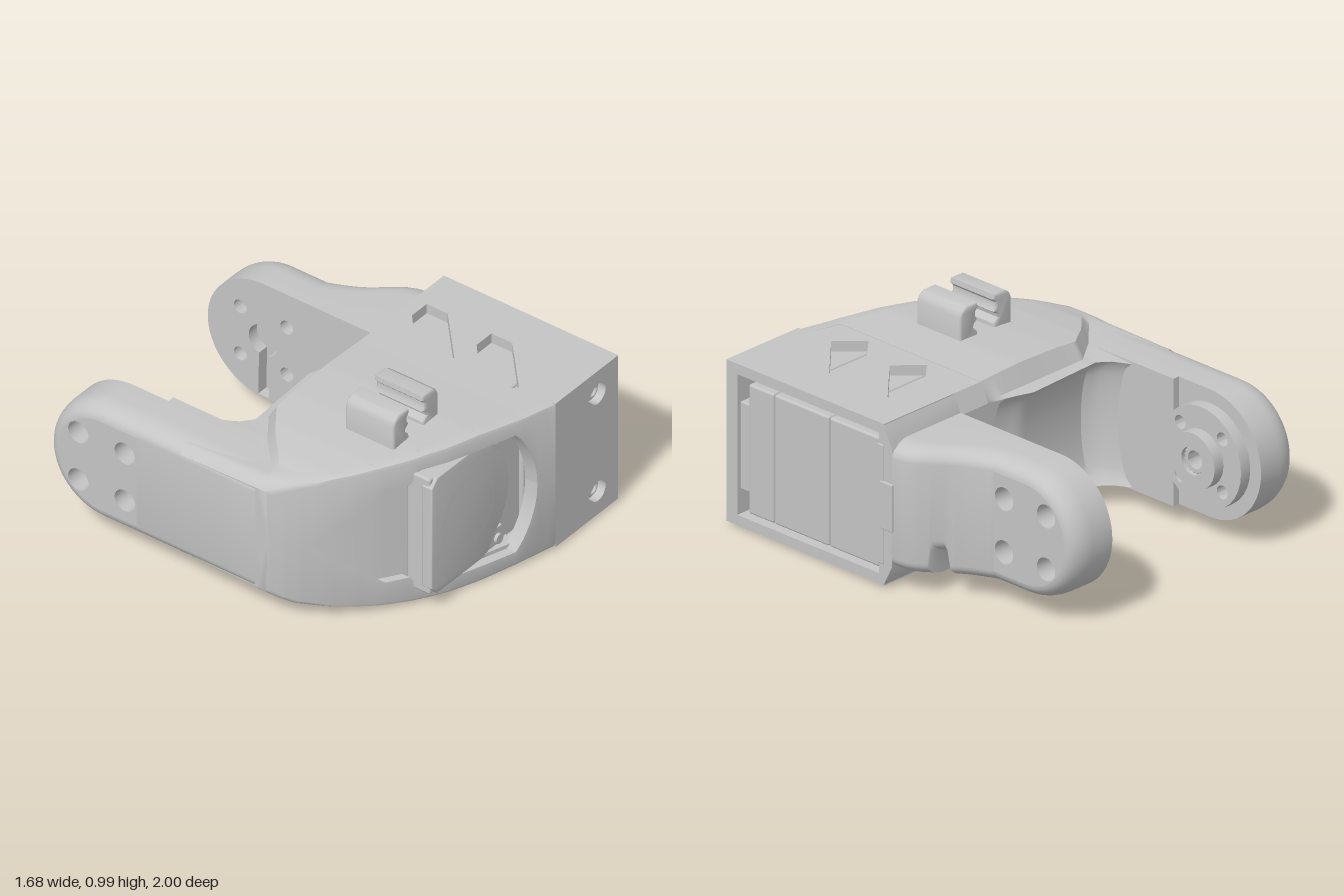
import * as THREE from 'three';
import { toCreasedNormals } from 'three/addons/utils/BufferGeometryUtils.js';
import { RoundedBoxGeometry } from 'three/addons/geometries/RoundedBoxGeometry.js';

const V = (x, y, z) => new THREE.Vector3(x, y, z);
const P = (x, y) => new THREE.Vector2(x, y);
const MID = 0.425; // height of the horizontal symmetry plane; parts are built around y = 0

// Linear interpolation through [x, value] pairs
function curve(pairs) {
  return x => {
    let i = 1;
    while (i < pairs.length - 1 && x > pairs[i][0]) i++;
    const [a, b] = [pairs[i - 1], pairs[i]];
    const t = Math.min(1, Math.max(0, (x - a[0]) / (b[0] - a[0])));
    return a[1] + (b[1] - a[1]) * t;
  };
}

// Skin over rows of points; closed rows also get end caps
function skin(rows, closed = false) {
  const n = rows[0].length, idx = [];
  const m = closed ? n : n - 1;
  for (let r = 0; r < rows.length - 1; r++) {
    for (let i = 0; i < m; i++) {
      const a = r * n + i, b = r * n + (i + 1) % n;
      idx.push(a, b, a + n, b, b + n, a + n);
    }
  }
  if (closed) {
    const last = (rows.length - 1) * n;
    for (let i = 1; i < n - 1; i++) idx.push(0, i + 1, i, last, last + i, last + i + 1);
  }
  const g = new THREE.BufferGeometry().setFromPoints(rows.flat());
  g.setIndex(idx);
  return toCreasedNormals(g, 0.6);
}

const steps = (a, b, n) => Array.from({ length: n + 1 }, (_, i) => a + (b - a) * i / n);
const circle = (x, y, r) => steps(0, Math.PI * 2, 32).slice(0, 32).map(t => P(x + r * Math.cos(t), y + r * Math.sin(t)));

// Plan and height curves of the body
const front = curve([[-0.84, 0.27], [-0.81, 0.335], [-0.77, 0.395], [-0.7, 0.48], [-0.6, 0.575], [-0.5, 0.655],
  [-0.37, 0.74], [-0.2, 0.825], [0, 0.895], [0.17, 0.95], [0.36, 0.998]]);
const high = curve([[-0.84, 0.28], [-0.81, 0.31], [-0.77, 0.335], [-0.65, 0.368], [-0.5, 0.392], [-0.3, 0.41],
  [-0.05, 0.418], [0.2, 0.407], [0.36, 0.405]]);
const back = curve([[-0.565, -0.23], [-0.52, -0.14], [-0.46, -0.09], [-0.03, -0.11], [0.02, -0.09], [0.18, -0.045]]);
const topBack = curve([[-0.84, 0.18], [-0.78, 0.26], [-0.72, 0.25], [-0.56, 0.1], [-0.42, 0]]);
const windowEdge = curve([[-0.75, 0], [-0.48, 0.26], [-0.38, 0.26], [-0.33, 0.33], [0.14, 0.33]]);
const windowHalf = x => x < 0.14 ? windowEdge(x) : Math.sqrt(Math.max(0, 0.514 ** 2 - (x + 0.254) ** 2));

export function createModel() {
  const root = new THREE.Group();
  root.name = 'servoBracket';
  const model = new THREE.Group();
  model.name = 'bracketParts';
  model.position.y = MID;
  root.add(model);
  const grey = new THREE.MeshStandardMaterial({ color: 0xc4c4c4, side: THREE.DoubleSide });
  grey.name = 'grey plastic';

  const add = (name, geo, mirror = false) => {
    const mesh = new THREE.Mesh(geo, grey);
    mesh.name = name;
    model.add(mesh);
    if (mirror) {
      const other = mesh.clone();
      other.scale.y = -1;
      other.name = name + 'Lower';
      model.add(other);
    }
  };
  const box = (name, x0, x1, y0, y1, z0, z1, r = 0.012) => {
    const g = new RoundedBoxGeometry(x1 - x0, y1 - y0, z1 - z0, 2, r);
    add(name, g.translate((x0 + x1) / 2, (y0 + y1) / 2, (z0 + z1) / 2));
  };
  const extrude = (pts, holes, depth, bevel = 0) => {
    const s = new THREE.Shape(pts);
    s.holes = holes.map(h => new THREE.Path(h));
    return toCreasedNormals(new THREE.ExtrudeGeometry(s, { depth, bevelEnabled: bevel > 0, bevelSize: bevel,
      bevelThickness: bevel, bevelOffset: -bevel, bevelSegments: 3 }), 0.6);
  };

  // Curved front wall with the pointed window
  const xs = [...steps(-0.84, -0.76, 8), ...steps(-0.75, -0.48, 9), ...steps(-0.43, -0.38, 1), ...steps(-0.33, 0.14, 12),
    ...steps(0.16, 0.24, 4), 0.25, 0.256, 0.26, 0.31, 0.36];
  add('frontWall', skin(xs.map(x => {
    const f = front(x), h = high(x), w = windowHalf(x);
    return [V(x, w, f), V(x, h - 0.02, f), V(x, h - 0.006, f - 0.006), V(x, h, f - 0.02), V(x, h, f - 0.07), V(x, w, f - 0.07)];
  }), true), true);
  add('windowRecessFloor', skin(steps(-0.8, -0.36, 14).map(x => [V(x, -0.29, front(x) - 0.045), V(x, 0.29, front(x) - 0.045)])));

  // Flat front wall with teardrop screw recesses
  const drop = y => [P(0.605, y), ...steps(-2.3, 2.3, 18).map(t => P(0.68 + 0.055 * Math.cos(t), y + 0.055 * Math.sin(t)))];
  add('frontCorner', extrude([P(0.36, -0.405), P(0.83, -0.405), P(0.83, 0.405), P(0.36, 0.405)],
    [drop(0.275), drop(-0.275)], 0.07).translate(0, 0, 0.928));
  box('screwSeat', 0.5, 0.8, -0.36, 0.36, 0.93, 0.955, 0.004);
  add('frontScrew', new THREE.TorusGeometry(0.032, 0.009, 8, 24).translate(0.68, 0.275, 0.96), true);

  // Upper and lower plates, slotted near the open end
  add('curvedPlate', skin(steps(-0.84, 0.2, 52).map(x => {
    const f = front(x) - 0.05, h = high(x), z = topBack(x), low = Math.min(0.31, h - 0.01);
    return [V(x, h, f), V(x, h, z), V(x, Math.min(0.322, h - 0.005), z - 0.045), V(x, low, back(x)), V(x, low, f)];
  }), true), true);
  const slot = dz => [[0.61, 0.07], [0.5, 0.07], [0.24, 0.3], [0.36, 0.42], [0.61, 0.19]].map(([x, z]) => P(x, z + dz));
  add('slottedPlate', extrude([P(0.2, 0), P(0.83, 0), P(0.83, 0.94), P(0.36, 0.94), P(0.2, 0.89)],
    [slot(0), slot(0.37)], 0.052).rotateX(Math.PI / 2).translate(0, 0.405, 0), true);

  // Rear walls: concave lip between the arms, a short lip, and a chamfered wall behind the open end
  add('rearConcaveWall', skin(steps(-0.6, 0.1, 24).map(x =>
    steps(-1, 1, 16).map(t => V(x, 0.31 * t, back(x) + 0.09 * Math.sqrt(1 - t * t * 0.999))))));
  add('rearLip', skin([0.2, 0.37].map(x => [V(x, 0.405, 0.03), V(x, 0.405, 0), V(x, 0.31, -0.045), V(x, 0.31, 0.03)]), true), true);
  add('rearCornerWall', skin([0.37, 0.83].map(x => [V(x, -0.4, 0.03), V(x, -0.4, 0), V(x, -0.3, -0.05),
    V(x, 0.3, -0.05), V(x, 0.4, 0), V(x, 0.4, 0.03)]), true));

  // Arms: rounded tip with four counterbored holes, plus a blended root
  const CZ = -0.68, JOIN = -0.48, R = 0.32;
  const round = steps(0, Math.PI / 2, 7).map(t => [0.07 * (1 - Math.cos(t)), 0.12 * Math.sin(t) - 0.12]);
  const outline = i => [P(JOIN, i - R), ...steps(-Math.PI / 2, Math.PI / 2, 32).map(t =>
    P(CZ - (R - i) * Math.cos(t), (R - i) * Math.sin(t))), P(JOIN, R - i)];
  const at = (pts, x) => pts.map(p => V(x, p.y, p.x));
  const cap = (pts, holes, x) => {
    const s = new THREE.Shape(pts);
    s.holes = holes.map(h => new THREE.Path(h));
    return new THREE.ShapeGeometry(s).rotateY(-Math.PI / 2).translate(x, 0, 0);
  };
  const tube = (pts, x0, x1) => skin([at([...pts, pts[0]], x0), at([...pts, pts[0]], x1)]);
  const centres = [-0.133, 0.133].flatMap(z => [-0.133, 0.133].map(y => [CZ + z, y]));
  const holes = r => centres.map(([z, y]) => circle(z, y, r));
  const keyhole = [P(CZ - 0.03, -0.312), P(CZ + 0.03, -0.312),
    ...steps(-1.25, Math.PI + 1.25, 24).map(t => P(CZ + 0.085 * Math.cos(t), 0.085 * Math.sin(t)))];

  const arm = (name, s, inner, outer, rootInner, rootZ, rootOuter, rootLow, pocket) => {
    add(name + 'TipEdge', skin([at(outline(0), inner), ...round.map(([i, d]) => at(outline(i), outer + s * d))]));
    add(name + 'TipOuterFace', cap(outline(0.07), holes(0.058), outer));
    add(name + 'TipInnerFace', cap(outline(0), [...holes(0.037), ...pocket], inner));
    const seat = outer - s * 0.16;
    for (const [z, y] of centres) {
      add(name + 'Counterbore', tube(circle(z, y, 0.058), outer, seat));
      add(name + 'HoleSeat', cap(circle(z, y, 0.058), [circle(z, y, 0.037)], seat));
      add(name + 'Hole', tube(circle(z, y, 0.037), seat, inner));
    }
    for (const p of pocket) {
      add(name + 'KeyholeWall', tube(p, inner, inner + s * 0.06));
      add(name + 'KeyholeFloor', cap(p, [], inner + s * 0.06));
    }
    add(name + 'Root', skin(rootZ.map(z => {
      const o = rootOuter(z), low = rootLow(z);
      const half = (k, r) => round.map(([i, d]) => V(o + s * d, k * (r - i), z));
      return [V(rootInner, -low, z), ...half(-1, low), ...half(1, R).reverse(), V(rootInner, R, z)];
    }), true));
  };
  arm('rightArm', -1, -0.6, -0.84, -0.565, [JOIN, 0, 0.27], () => -0.84, () => R, []);
  const flare = curve([[-0.48, 0.61], [-0.45, 0.621], [-0.4, 0.643], [-0.35, 0.668], [-0.3, 0.7], [-0.24, 0.75],
    [-0.17, 0.803], [-0.12, 0.825], [-0.08, 0.83]]);
  // The left arm flares out to the body and has a cable notch underneath
  const notch = curve([[-0.295, R], [-0.285, 0.23], [-0.275, 0.2], [-0.235, 0.2], [-0.225, 0.23], [-0.215, R]]);
  const rootZ = [...steps(JOIN, -0.32, 8), -0.295, -0.285, -0.275, -0.255, -0.235, -0.225, -0.215, ...steps(-0.19, -0.02, 8)];
  arm('leftArm', 1, 0.37, 0.61, 0.37, rootZ, flare, notch, [keyhole]);

  // Output horn on the right arm
  add('hornDisc', extrude(circle(CZ, 0, 0.252), [...holes(0.034), circle(CZ, 0, 0.07)], 0.06)
    .rotateY(-Math.PI / 2).translate(-0.54, 0, 0));
  add('hornBoss', extrude(circle(CZ, 0, 0.14), [circle(CZ, 0, 0.07)], 0.06).rotateY(-Math.PI / 2).translate(-0.482, 0, 0));
  add('hornSpline', extrude(steps(0, Math.PI * 2, 40).slice(0, 40).map((t, i) => {
    const r = i % 2 ? 0.075 : 0.06;
    return P(CZ + r * Math.cos(t), r * Math.sin(t));
  }), [circle(CZ, 0, 0.045)], 0.08).rotateY(-Math.PI / 2).translate(-0.5, 0, 0));

  // Servo case held in the body
  for (const [x0, z0, z1] of [[-0.365, 0.035, 0.348], [-0.365, 0.352, 0.698], [-0.365, 0.702, 0.835], [0.3, 0.702, 0.86]]) {
    box('servoCase', x0, 0.828, -0.325, 0.325, z0, z1);
  }
  box('servoEndRim', 0.7, 0.825, -0.22, 0.22, 0.85, 0.915, 0.006);
  box('servoRearRim', 0.7, 0.835, -0.3, 0.3, 0.0, 0.04, 0.006);
  box('servoRearTab', 0.7, 0.84, -0.12, 0.12, -0.06, 0.02, 0.006);
  const face = [P(0.04, 0.325), P(-0.33, 0.325), P(-0.37, 0.28), P(-0.37, -0.28), P(-0.33, -0.325), P(0.04, -0.325),
    ...steps(-0.8, 0.8, 20).map(t => P(-0.13 + 0.33 * Math.cos(t), 0.33 * Math.sin(t)))];
  add('servoFace', extrude(face, [], 0.045, 0.006).translate(0, 0, 0.802));
  add('servoFaceRing', new THREE.RingGeometry(0.185, 0.189, 48).translate(-0.1, 0, 0.8545));
  add('servoScrewTab', new THREE.BoxGeometry(0.11, 0.1, 0.03).translate(0.1, 0.27, 0.835), true);
  add('servoScrew', new THREE.CylinderGeometry(0.026, 0.026, 0.03, 20).rotateX(Math.PI / 2).translate(0.12, 0.277, 0.85), true);

  // Pair of cable clips on top
  const clip = [[-0.365, 0.36], [-0.365, 0.53], [-0.352, 0.557], [-0.325, 0.575], [-0.25, 0.575], [-0.246, 0.55], [-0.262, 0.533],
    [-0.262, 0.508], [-0.25, 0.488], [-0.272, 0.472], [-0.276, 0.455], [-0.25, 0.43], [-0.246, 0.36]];
  for (const side of [1, -1]) {
    const pts = clip.map(([x, y]) => P(side > 0 ? x : -0.395 - x, y));
    add('cableClip', extrude(pts, [], 0.256, 0.012).translate(0, 0, 0.362));
  }
  return root;
}
